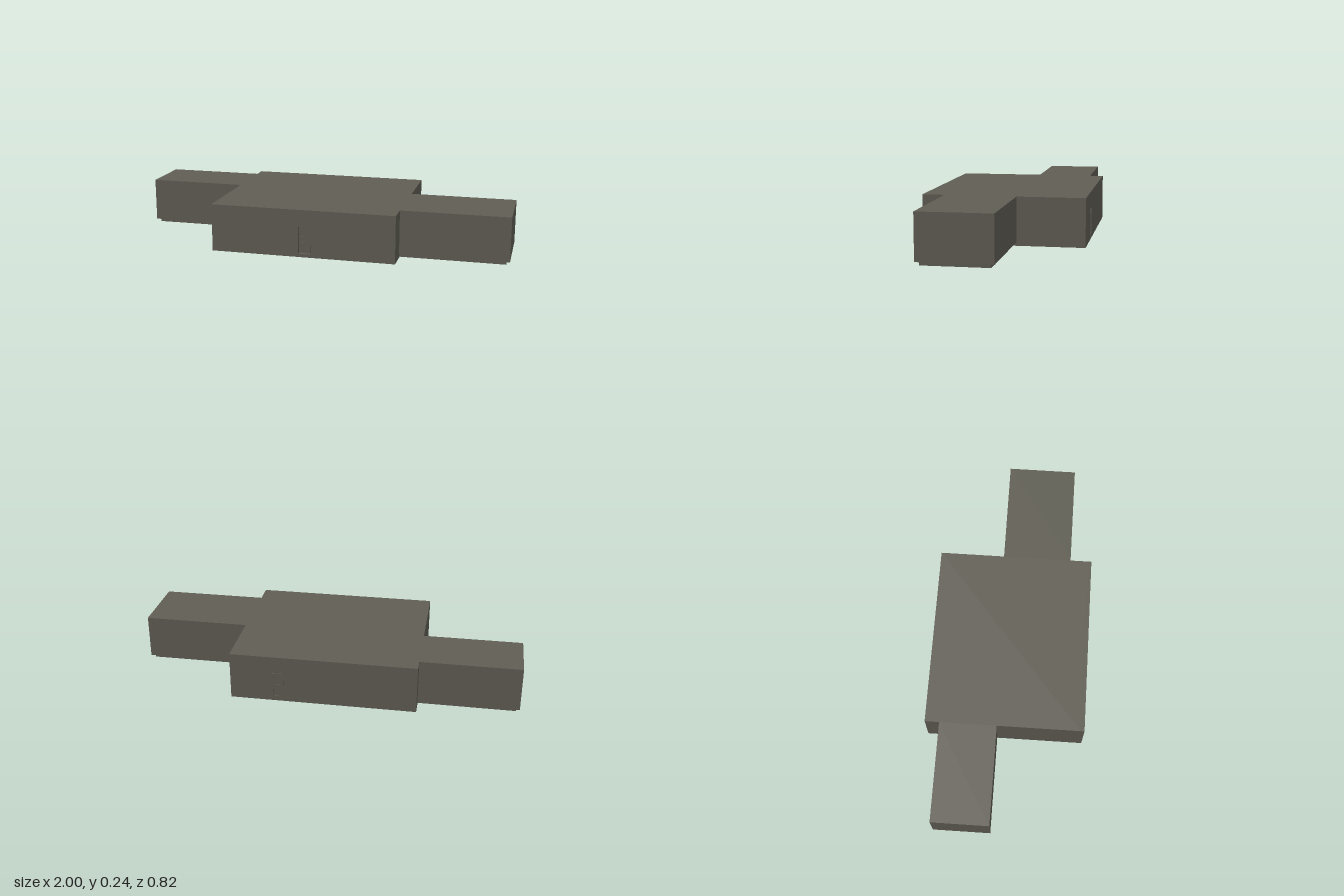
import * as THREE from 'three';

const stone = new THREE.MeshStandardMaterial({ color: 0x605e54 });
stone.name = 'grey stone';

// Box given by its minimum and maximum corners
function block(name, [x0, y0, z0], [x1, y1, z1]) {
  const geo = new THREE.BoxGeometry(x1 - x0, y1 - y0, z1 - z0);
  geo.translate((x0 + x1) / 2, (y0 + y1) / 2, (z0 + z1) / 2);
  const mesh = new THREE.Mesh(geo, stone);
  mesh.name = name;
  return mesh;
}

function rect(Type, x0, y0, x1, y1) {
  const path = new Type();
  path.moveTo(x0, y0);
  path.lineTo(x1, y0);
  path.lineTo(x1, y1);
  path.lineTo(x0, y1);
  path.closePath();
  return path;
}

// Upright slab with rectangular openings
function slab(name, outline, openings, z, depth) {
  const shape = rect(THREE.Shape, ...outline);
  openings.forEach((o) => shape.holes.push(rect(THREE.Path, ...o)));
  const geo = new THREE.ExtrudeGeometry(shape, { depth, bevelEnabled: false });
  geo.translate(0, 0, z);
  const mesh = new THREE.Mesh(geo, stone);
  mesh.name = name;
  return mesh;
}

export function createModel() {
  const model = new THREE.Group();
  model.name = 'building';
  const top = 0.244, lift = 0.018, inset = 0.018;
  const x0 = -0.492, x1 = 0.455, front = 0.408, back = -0.406, recess = 0.018;

  // Main hall with a doorway let into its front wall
  model.add(block('mainHall', [x0, 0, back], [x1, top, front - recess]));
  model.add(slab('frontWall', [x0, 0, x1, top], [[-0.037, lift, 0.027, 0.157]], front - recess, recess));

  // Front door panels inside the doorway
  const doorZ = front - recess;
  model.add(block('frontDoorLowerPanel', [0, lift, doorZ], [0.022, 0.066, doorZ + 0.003]));
  for (const y of [0.066, 0.1, 0.132]) {
    model.add(block('frontDoorRail', [-0.037, y, doorZ], [-0.004, y + 0.005, doorZ + 0.003]));
  }

  // Back door: a thin frame with two panes
  model.add(slab('backDoorFrame', [0.178, lift, 0.243, 0.156],
    [[0.19, 0.03, 0.231, 0.082], [0.19, 0.092, 0.231, 0.145]], back - 0.003, 0.003));

  // Side wings, each raised on a narrower plinth
  const wings = [
    { side: 'left', from: x1, to: 1, z0: -0.066, z1: 0.295 },
    { side: 'right', from: -1, to: x0, z0: -0.332, z1: -0.038 },
  ];
  for (const { side, from, to, z0, z1 } of wings) {
    model.add(block(side + 'Wing', [from, lift, z0], [to, top, z1]));
    model.add(block(side + 'WingPlinth',
      [Math.max(from, -1 + inset), 0, z0 + inset],
      [Math.min(to, 1 - inset), lift, z1 - inset]));
  }
  return model;
}
